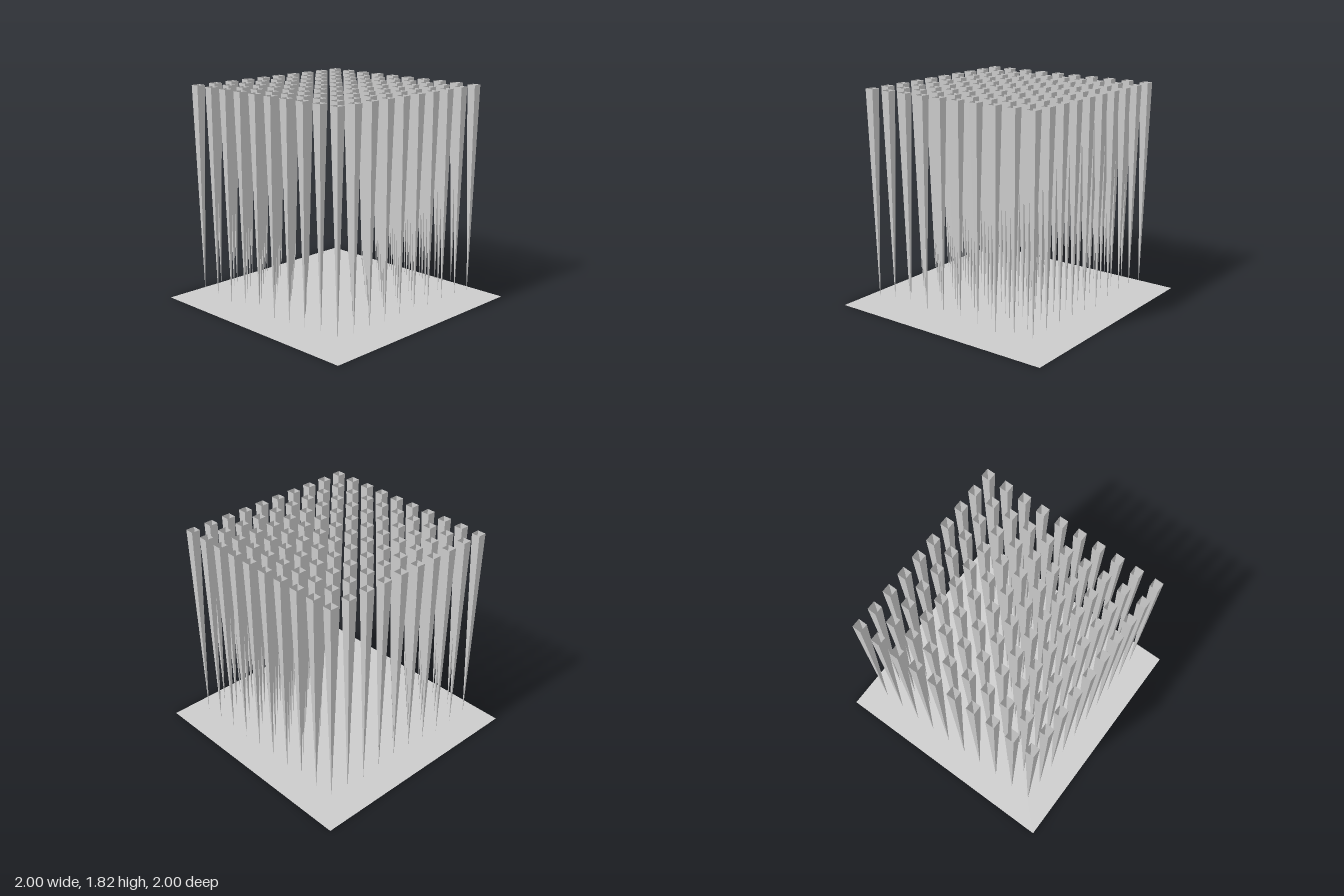
import * as THREE from 'three';

const COUNT = 10;       // spikes per side
const SPREAD = 0.789;   // centre of the outermost spikes
const WIDTH = 0.075;    // side of each square opening
const TIP_Y = 0.05;
const TOP_Y = 1.82;

export function createModel() {
  const group = new THREE.Group();
  group.name = 'spikeBed';
  const material = new THREE.MeshStandardMaterial({
    color: 0xcccccc, flatShading: true, side: THREE.DoubleSide,
  });

  // Thin square sheet on the ground
  const base = new THREE.Mesh(new THREE.PlaneGeometry(2, 2).rotateX(-Math.PI / 2), material);
  base.name = 'basePlate';
  group.add(base);

  // Hollow four-sided spike, point down and open at the top
  const height = TOP_Y - TIP_Y;
  const spikeGeometry = new THREE.ConeGeometry(WIDTH * Math.SQRT1_2, height, 4, 1, true, Math.PI / 4)
    .rotateX(Math.PI)
    .translate(0, TIP_Y + height / 2, 0);

  // Regular square grid of spikes
  const spikes = new THREE.Group();
  spikes.name = 'spikes';
  const place = (i) => -SPREAD + (2 * SPREAD * i) / (COUNT - 1);
  for (let row = 0; row < COUNT; row++) {
    for (let col = 0; col < COUNT; col++) {
      const spike = new THREE.Mesh(spikeGeometry, material);
      spike.name = 'spike';
      spike.position.set(place(col), 0, place(row));
      spikes.add(spike);
    }
  }
  group.add(spikes);
  return group;
}
